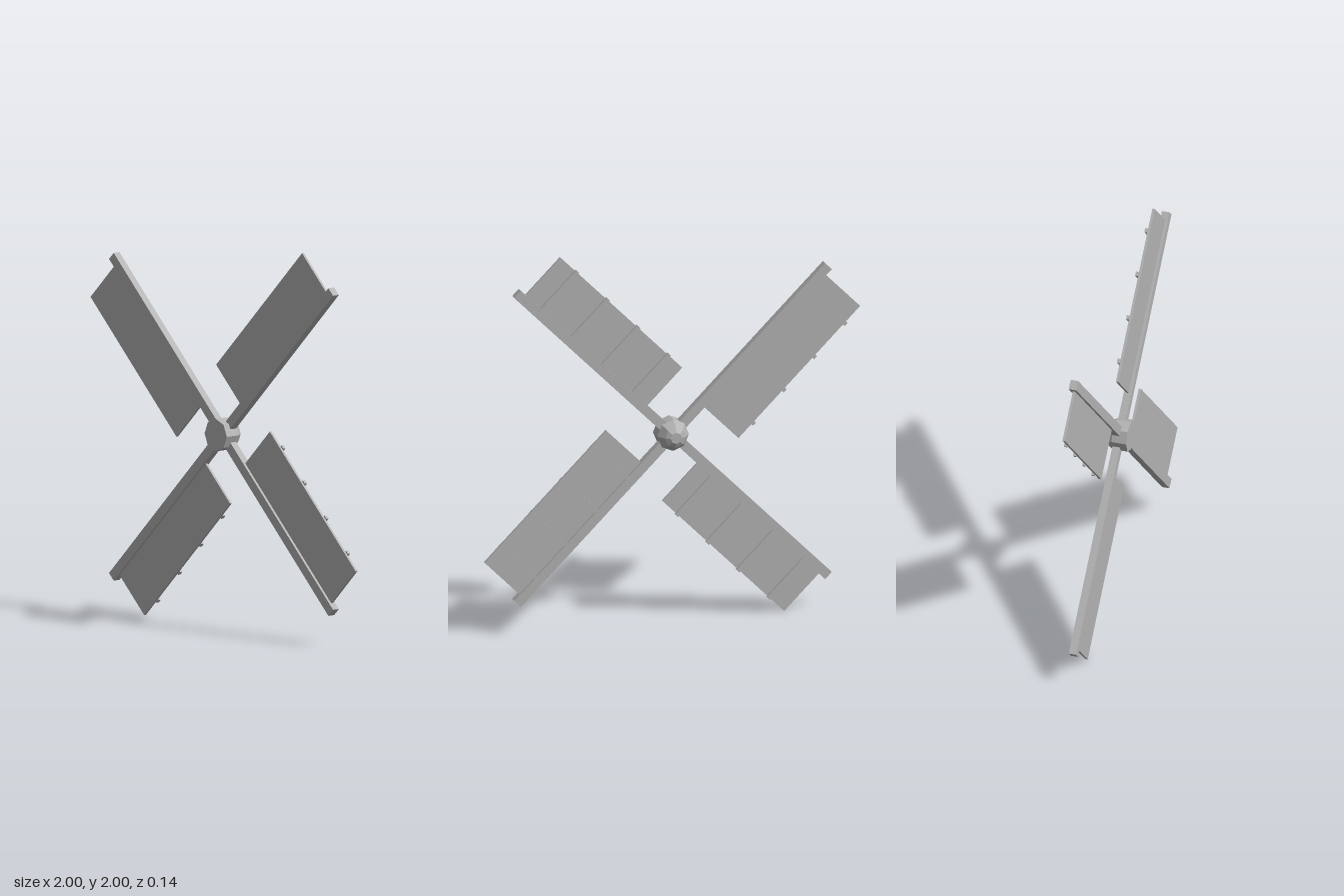
import * as THREE from 'three';

export function createModel() {
  const model = new THREE.Group();
  model.name = 'windmillSails';
  const grey = new THREE.MeshStandardMaterial({ color: 0xb2b2b2, flatShading: true });
  grey.name = 'grey';

  // Box given by its minimum and maximum corners
  function box(name, x0, x1, y0, y1, z0, z1) {
    const geometry = new THREE.BoxGeometry(x1 - x0, y1 - y0, z1 - z0);
    geometry.translate((x0 + x1) / 2, (y0 + y1) / 2, (z0 + z1) / 2);
    const mesh = new THREE.Mesh(geometry, grey);
    mesh.name = name;
    return mesh;
  }

  // Eight-sided hub: flat in front, faceted dome behind
  const profile = [[0, -0.068], [0.084, -0.068], [0.084, 0.01], [0.056, 0.054], [0.03, 0.068], [0, 0.068]]
    .map(([r, y]) => new THREE.Vector2(r, y));
  const hubGeometry = new THREE.LatheGeometry(profile, 8);
  hubGeometry.rotateX(-Math.PI / 2);
  const hub = new THREE.Mesh(hubGeometry, grey);
  hub.name = 'hub';
  hub.position.y = 1;
  model.add(hub);

  // Four blades, each with a spar, a thin sail and four slats behind it
  for (let i = 0; i < 4; i++) {
    const blade = new THREE.Group();
    blade.name = 'blade' + (i + 1);
    blade.add(box('spar', 0, 1.17, -0.025, 0.025, -0.009, 0.031));
    blade.add(box('sail', 0.212, 1.128, 0, 0.286, 0.004, 0.017));
    for (let j = 0; j < 4; j++) {
      const u = 0.32 + j * 0.23;
      blade.add(box('slat', u - 0.011, u + 0.011, 0, 0.293, -0.01, 0.005));
    }
    blade.position.y = 1;
    blade.rotation.z = Math.PI / 4 + i * Math.PI / 2;
    model.add(blade);
  }
  return model;
}
